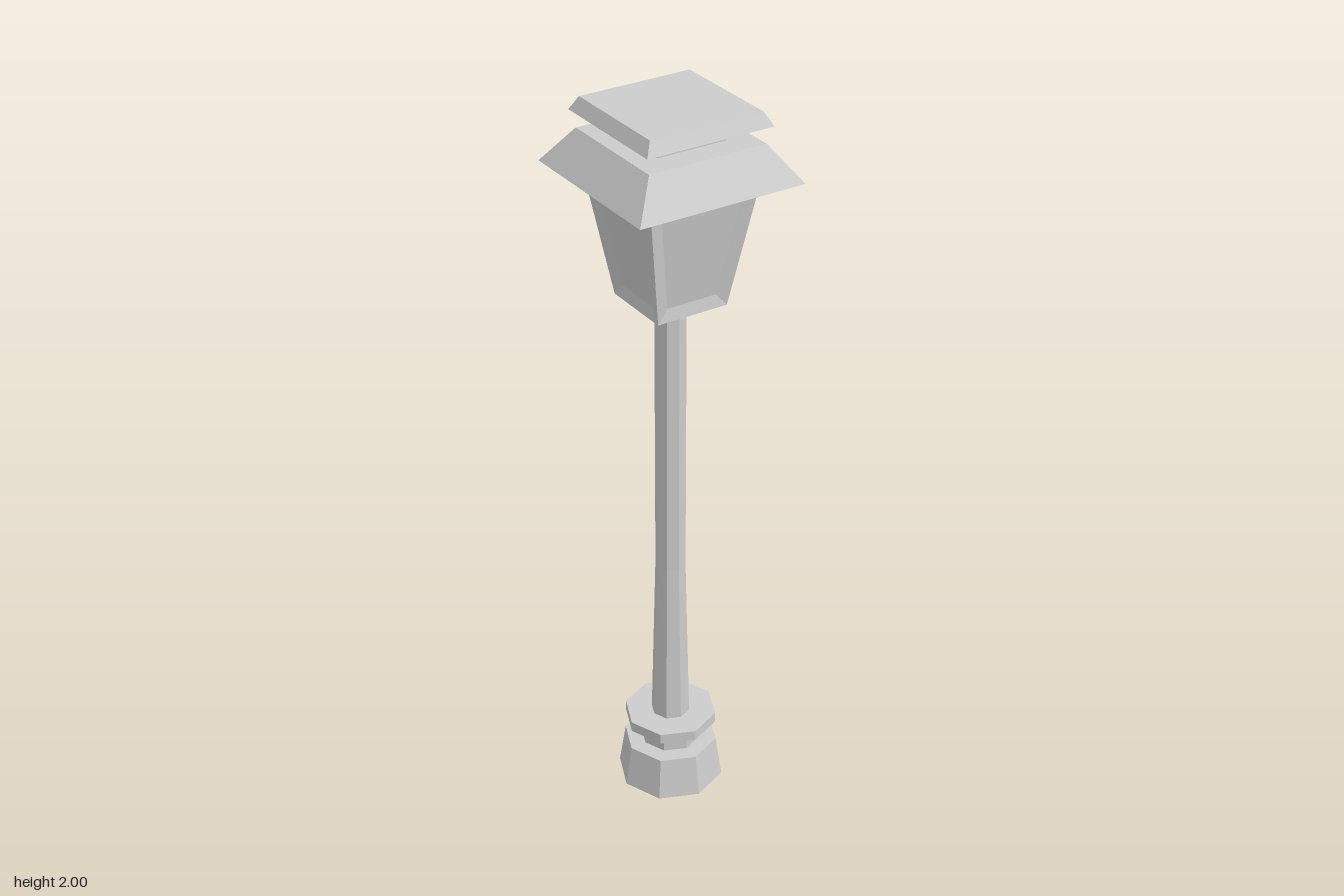
import * as THREE from 'three';

const material = new THREE.MeshStandardMaterial({ color: 0xcccccc, flatShading: true });

export function createModel() {
  const model = new THREE.Group();
  model.name = 'streetLamp';

  const add = (name, geometry, y = 0) => {
    const mesh = new THREE.Mesh(geometry, material);
    mesh.name = name;
    mesh.position.y = y;
    model.add(mesh);
  };

  // Octagonal section between two heights
  const octagon = (name, y0, y1, r0, r1 = r0) =>
    add(name, new THREE.CylinderGeometry(r1, r0, y1 - y0, 8), (y0 + y1) / 2);

  // Square section given by half widths at the bottom and top
  const square = (name, y0, y1, h0, h1 = h0) => {
    const g = new THREE.CylinderGeometry(h1 * Math.SQRT2, h0 * Math.SQRT2, y1 - y0, 4);
    add(name, g.rotateY(Math.PI / 4), (y0 + y1) / 2);
  };

  // Base and post
  octagon('base', 0, 0.12, 0.147, 0.129);
  octagon('baseNeck', 0.12, 0.18, 0.083);
  octagon('baseCollar', 0.18, 0.21, 0.127);
  octagon('lowerPost', 0.21, 0.7, 0.053, 0.041);
  octagon('upperPost', 0.7, 1.487, 0.041);

  // Lantern and tiered roof
  add('lantern', lanternGeometry(1.487, 1.827, 0.1, 0.155));
  square('roof', 1.827, 1.92, 0.23, 0.163);
  square('roofNeck', 1.92, 1.965, 0.095);
  square('roofCap', 1.965, 2, 0.175, 0.156);

  return model;
}

// Tapered box whose four sides are dished panes
function lanternGeometry(y0, y1, h0, h1) {
  const inset = 0.035, depth = 0.01;
  const positions = [];
  const quad = (a, b, c, d) => [a, b, c, a, c, d].forEach((p) => positions.push(p.x, p.y, p.z));
  const half = (y) => THREE.MathUtils.mapLinear(y, y0, y1, h0, h1);
  const up = new THREE.Vector3(0, 1, 0);

  for (let side = 0; side < 4; side++) {
    const turn = (side * Math.PI) / 2;
    const ring = (m, d) => [[-1, y0 + m], [1, y0 + m], [1, y1 - m], [-1, y1 - m]].map(([s, y]) =>
      new THREE.Vector3(s * (half(y) - m), y, half(y) - d).applyAxisAngle(up, turn));
    const outer = ring(0, 0), inner = ring(inset, depth);
    quad(...inner);
    for (let i = 0; i < 4; i++) {
      const j = (i + 1) % 4;
      quad(outer[i], outer[j], inner[j], inner[i]);
    }
  }

  // Floor and ceiling
  const corners = (y) => [[-1, -1], [1, -1], [1, 1], [-1, 1]].map(([x, z]) =>
    new THREE.Vector3(x * half(y), y, z * half(y)));
  quad(...corners(y0));
  quad(...corners(y1).reverse());

  const geometry = new THREE.BufferGeometry();
  geometry.setAttribute('position', new THREE.Float32BufferAttribute(positions, 3));
  geometry.computeVertexNormals();
  return geometry;
}
